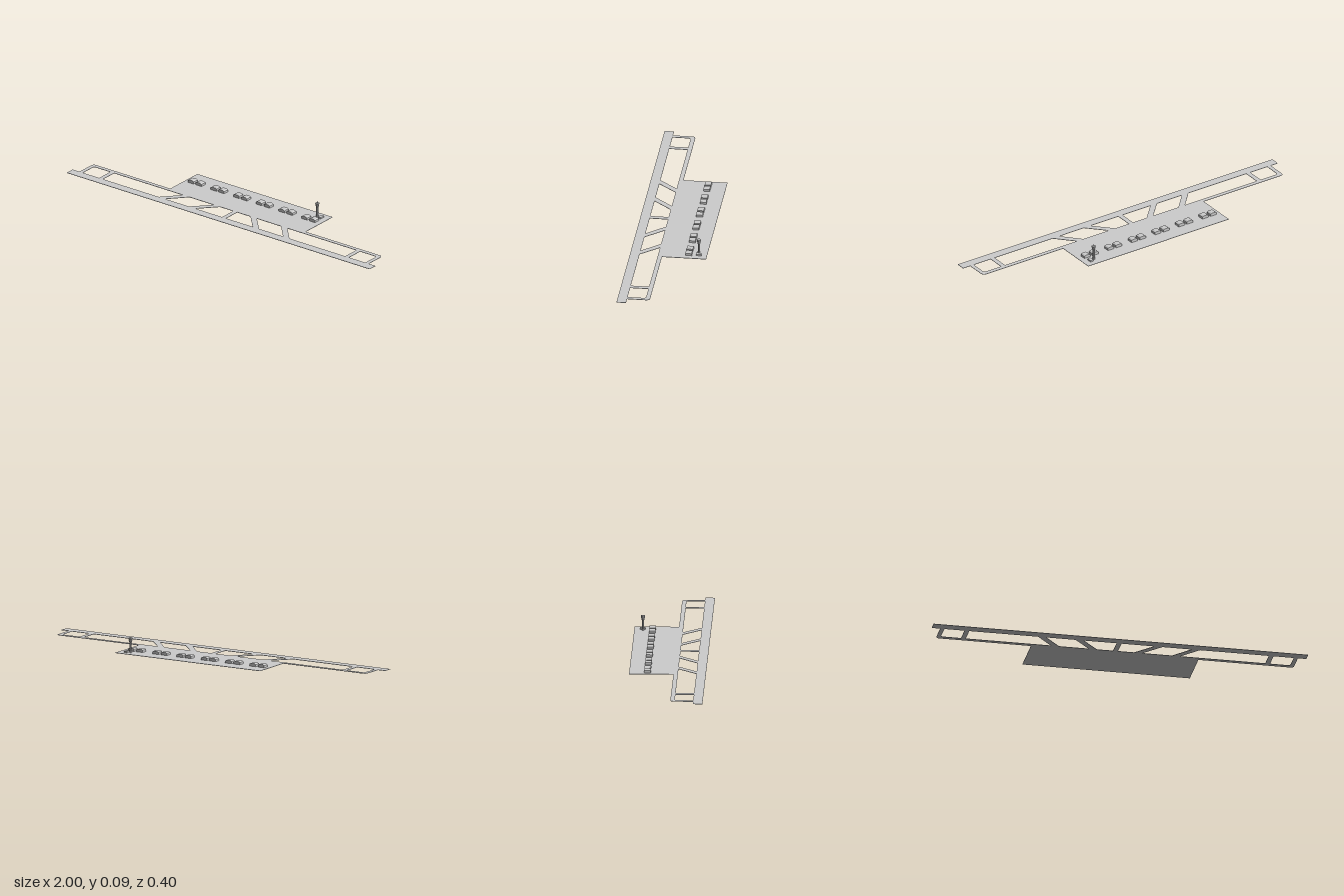
import * as THREE from 'three';

const T = 0.002; // pavement thickness
const mat = new THREE.MeshStandardMaterial({ color: 0xcccccc, flatShading: true, side: THREE.DoubleSide });

function add(parent, name, geometry, x = 0, y = 0, z = 0) {
  const mesh = new THREE.Mesh(geometry, mat);
  mesh.name = name;
  mesh.position.set(x, y, z);
  parent.add(mesh);
  return mesh;
}

// Plan coordinates are (x, z); the shape plane is turned to lie flat.
const plan = (pts) => pts.map(([x, z]) => new THREE.Vector2(x, -z));

function pavement() {
  const s = new THREE.Shape();
  const to = (x, z) => s.lineTo(x, -z);
  // Runway, end connector with rounded corner, taxiway, apron, and back again
  s.moveTo(-1, -0.2);
  to(1, 0.2); to(1, 0.15); to(0.955, 0.15); to(0.955, 0.05);
  s.quadraticCurveTo(0.955, -0.03, 0.935, -0.03);
  to(0.447, 0.03); to(0.447, -0.203); to(-0.447, -0.203); to(-0.447, 0.03);
  to(-0.935, 0.03);
  s.quadraticCurveTo(-0.955, -0.03, -0.955, -0.05);
  to(-0.955, 0.15); to(-1, 0.15);
  s.closePath();

  // Grass openings between the connectors, mirrored about x = 0
  const a = 0.053, b = 0.15;
  const openings = [
    [[0.013, a], [0.1, a], [0.19, b], [0.013, b]],
    [[0.142, a], [0.302, a], [0.39, b], [0.232, b]],
    [[0.344, a], [0.8, a], [0.8, b], [0.432, b]],
    [[0.825, a], [0.925, a], [0.933, a + 0.008], [0.933, b], [0.825, b]],
  ];
  for (const o of openings) {
    for (const m of [1, -1]) s.holes.push(new THREE.Path(plan(o.map(([x, z]) => [x * m, z]))));
  }
  return new THREE.ExtrudeGeometry(s, { depth: T, bevelEnabled: false, curveSegments: 6 }).rotateX(-Math.PI / 2);
}

// Hangar: straight walls and a roof with sloped sides
function hangarGeometry(w, h, d) {
  const s = new THREE.Shape(plan([
    [-w / 2, 0], [w / 2, 0], [w / 2, -h * 0.75], [w * 0.3, -h], [-w * 0.3, -h], [-w / 2, -h * 0.75],
  ]));
  return new THREE.ExtrudeGeometry(s, { depth: d, bevelEnabled: false }).translate(0, 0, -d / 2);
}

function controlTower() {
  const g = new THREE.Group();
  g.name = 'controlTower';
  const profile = [[0, 0], [0.0075, 0], [0.006, 0.012], [0.006, 0.054], [0.0085, 0.064],
    [0.0085, 0.068], [0.0115, 0.08], [0.0105, 0.082], [0, 0.082]];
  add(g, 'towerShaftAndCab', new THREE.LatheGeometry(profile.map((p) => new THREE.Vector2(...p)), 8));
  add(g, 'cabSill', new THREE.CylinderGeometry(0.0105, 0.0095, 0.003, 8), 0, 0.068, 0);
  add(g, 'antenna', new THREE.CylinderGeometry(0.0006, 0.0006, 0.012, 5), 0, 0.087, 0);
  add(g, 'towerOffice', new THREE.BoxGeometry(0.019, 0.01, 0.029), 0.022, 0.005, -0.002);
  g.position.set(0.381, 0, -0.157);
  return g;
}

export function createModel() {
  const root = new THREE.Group();
  root.name = 'airfield';
  add(root, 'pavement', pavement());

  // Six pairs of hangars along the apron
  const hangars = new THREE.Group();
  hangars.name = 'hangars';
  const geo = hangarGeometry(0.038, 0.018, 0.034);
  for (let i = 0; i < 6; i++) {
    const x = -0.378 + i * 0.15;
    for (const side of [-1, 1]) add(hangars, 'hangar', geo, x + side * 0.026, 0, -0.107);
  }
  root.add(hangars, controlTower());
  return root;
}
